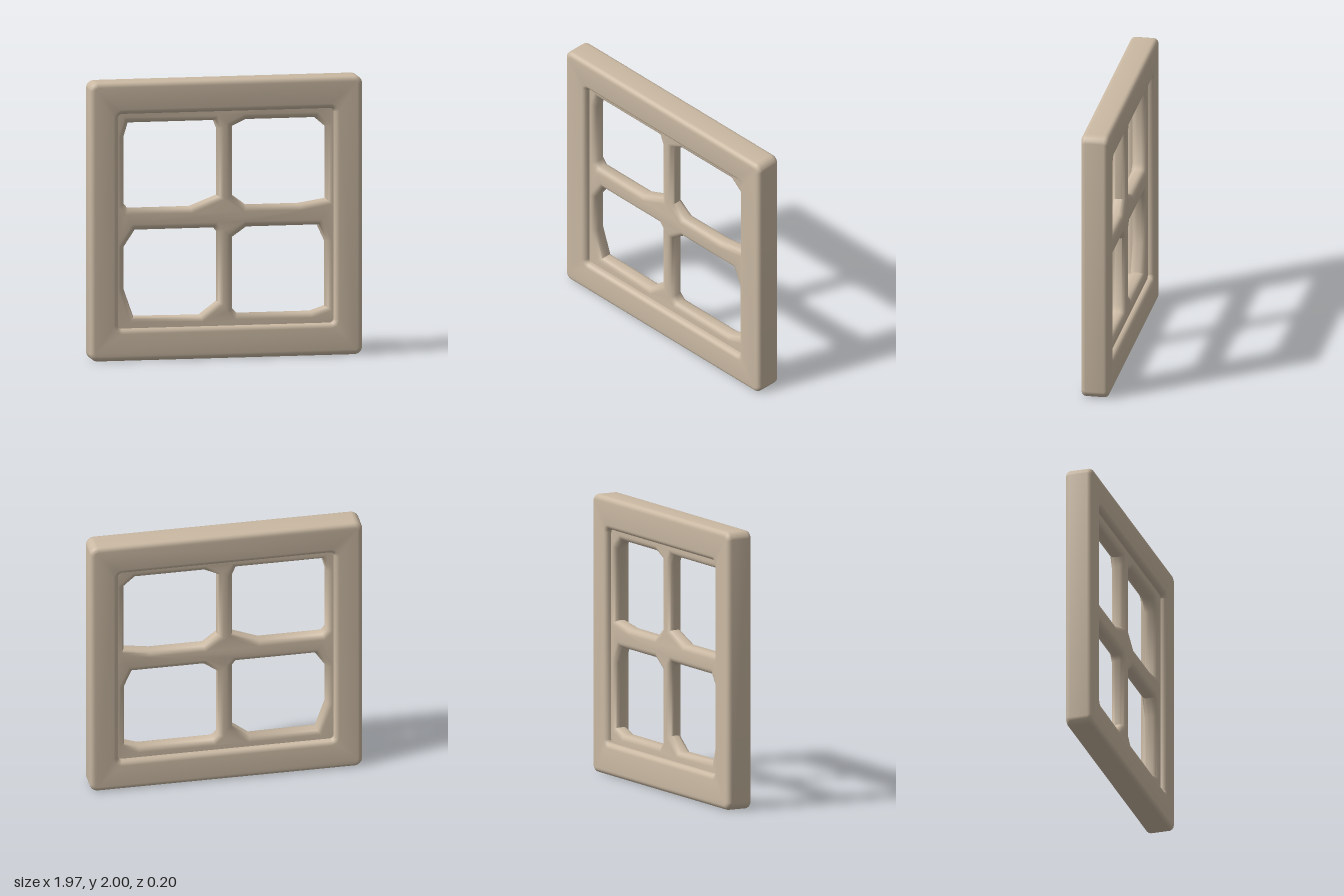
import * as THREE from 'three';
import { toCreasedNormals } from 'three/addons/utils/BufferGeometryUtils.js';

// rounded rectangle outline, given its edges and corner radius
function roundedRect(target, x0, x1, y0, y1, r) {
  target.moveTo(x0 + r, y0);
  target.lineTo(x1 - r, y0);
  target.absarc(x1 - r, y0 + r, r, -Math.PI / 2, 0);
  target.lineTo(x1, y1 - r);
  target.absarc(x1 - r, y1 - r, r, 0, Math.PI / 2);
  target.lineTo(x0 + r, y1);
  target.absarc(x0 + r, y1 - r, r, Math.PI / 2, Math.PI);
  target.lineTo(x0, y0 + r);
  target.absarc(x0 + r, y0 + r, r, Math.PI, Math.PI * 1.5);
  return target;
}

// extrusion with soft edges that stays inside its outline and between two depths
function softSlab(shape, zBack, zFront, bevel) {
  const geometry = new THREE.ExtrudeGeometry(shape, {
    depth: zFront - zBack - 2 * bevel,
    bevelEnabled: true,
    bevelThickness: bevel,
    bevelSize: bevel,
    bevelOffset: -bevel,
    bevelSegments: 5,
    curveSegments: 6,
  });
  geometry.translate(0, 0, zBack + bevel);
  return toCreasedNormals(geometry, 0.9);
}

export function createModel() {
  const model = new THREE.Group();
  model.name = 'window';
  const wood = new THREE.MeshStandardMaterial({ color: 0xcab9a3 });
  wood.name = 'pale wood';

  const add = (name, geometry) => {
    const mesh = new THREE.Mesh(geometry, wood);
    mesh.name = name;
    model.add(mesh);
  };

  // thick outer frame
  const frame = roundedRect(new THREE.Shape(), -0.985, 0.985, 0, 2, 0.06);
  frame.holes.push(roundedRect(new THREE.Path(), -0.78, 0.78, 0.23, 1.77, 0.03));
  add('outerFrame', softSlab(frame, -0.1, 0.1, 0.035));

  // recessed sash with crossbars; the pane corners are worn unevenly
  const panes = [
    [[-0.73, 1.12], [-0.7, 1.085], [-0.25, 1.085], [-0.055, 1.16],
      [-0.055, 1.64], [-0.08, 1.7], [-0.7, 1.7], [-0.73, 1.6]],
    [[0.055, 1.16], [0.155, 1.085], [0.54, 1.085], [0.73, 1.115],
      [0.73, 1.63], [0.65, 1.7], [0.15, 1.7], [0.055, 1.655]],
    [[-0.73, 0.51], [-0.66, 0.31], [-0.18, 0.305], [-0.055, 0.4],
      [-0.055, 0.9], [-0.08, 0.93], [-0.65, 0.93], [-0.73, 0.81]],
    [[0.055, 0.345], [0.09, 0.31], [0.62, 0.31], [0.725, 0.345],
      [0.725, 0.81], [0.67, 0.93], [0.155, 0.93], [0.055, 0.86]],
  ];
  const sash = roundedRect(new THREE.Shape(), -0.9, 0.9, 0.1, 1.9, 0.05);
  for (const pane of panes) {
    sash.holes.push(new THREE.Path(pane.map(([x, y]) => new THREE.Vector2(x, y))));
  }
  add('sashAndCrossbars', softSlab(sash, -0.055, 0.055, 0.042));

  return model;
}
